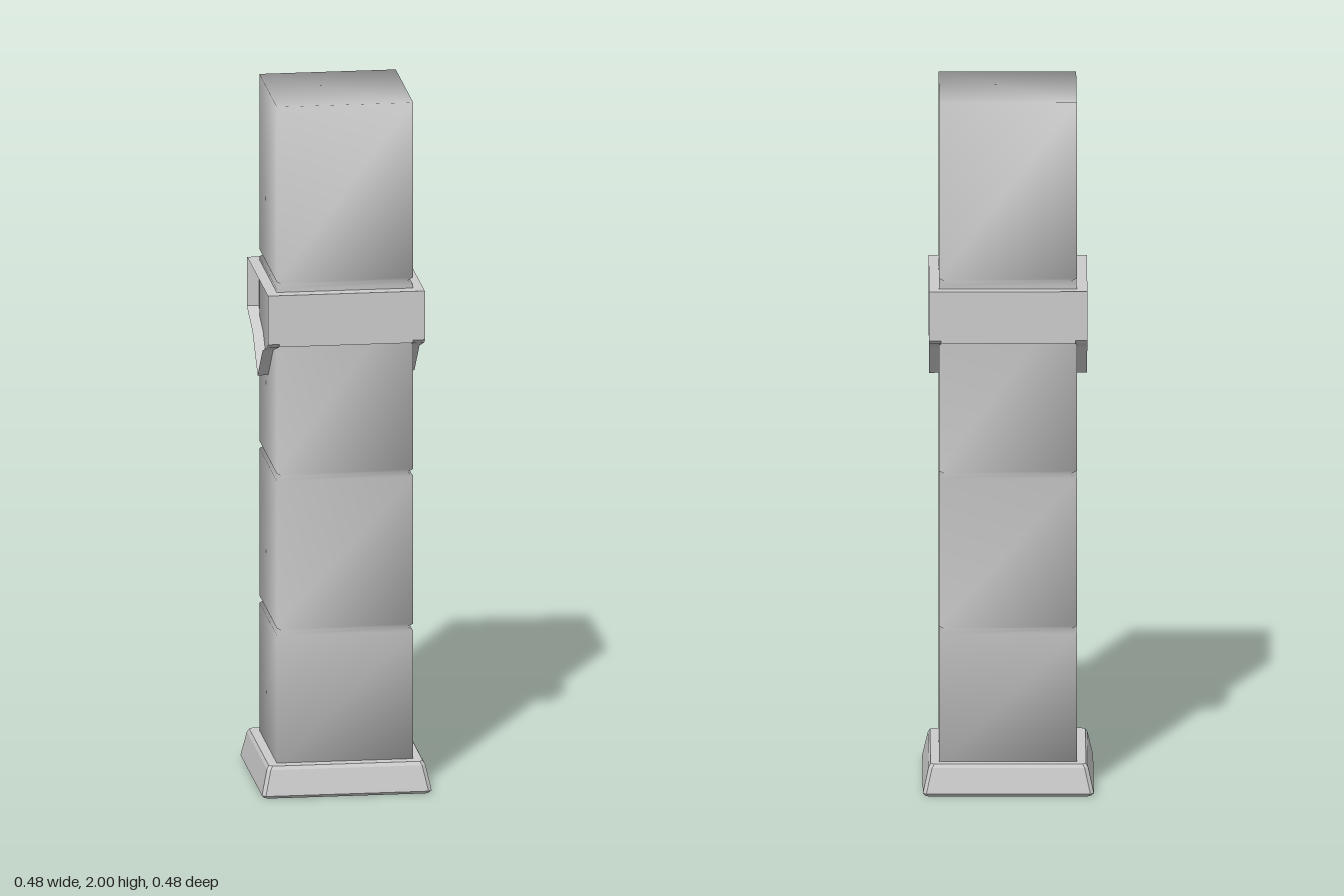
import * as THREE from 'three';

// Stack of square rings [halfX, halfZ, y], optionally with cut corners, closed by two caps
function squareStack(rings, cut = 0) {
  const pos = [], idx = [];
  let n = 0;
  for (const [a, b, y] of rings) {
    const pts = cut
      ? [[a, b - cut], [a - cut, b], [cut - a, b], [-a, b - cut], [-a, cut - b], [cut - a, -b], [a - cut, -b], [a, cut - b]]
      : [[a, b], [-a, b], [-a, -b], [a, -b]];
    n = pts.length;
    for (const [x, z] of pts) pos.push(x, y, z);
  }
  for (let r = 0; r < rings.length - 1; r++) {
    for (let i = 0; i < n; i++) {
      const p = r * n + i, q = r * n + (i + 1) % n;
      idx.push(p, q, p + n, q, q + n, p + n);
    }
  }
  const top = (rings.length - 1) * n;
  for (let i = 1; i < n - 1; i++) {
    idx.push(0, i + 1, i);
    idx.push(top, top + i, top + i + 1);
  }
  // ring order runs clockwise seen from above, so reverse every face
  for (let i = 0; i < idx.length; i += 3) [idx[i + 1], idx[i + 2]] = [idx[i + 2], idx[i + 1]];
  const g = new THREE.BufferGeometry();
  g.setAttribute('position', new THREE.Float32BufferAttribute(pos, 3));
  g.setIndex(idx);
  g.computeVertexNormals();
  return g;
}

export function createModel() {
  const model = new THREE.Group();
  const smooth = new THREE.MeshStandardMaterial({ color: 0xcccccc });
  const flat = new THREE.MeshStandardMaterial({ color: 0xcccccc, flatShading: true });
  const thin = new THREE.MeshStandardMaterial({ color: 0xcccccc, flatShading: true, side: THREE.DoubleSide });
  const add = (parent, name, geometry, material) => {
    const mesh = new THREE.Mesh(geometry, material);
    mesh.name = name;
    parent.add(mesh);
    return mesh;
  };

  // Tapered foot with softened edges
  add(model, 'base', squareStack([
    [0.234, 0.234, 0], [0.241, 0.241, 0.008], [0.239, 0.239, 0.018],
    [0.225, 0.225, 0.08], [0.219, 0.219, 0.09],
  ], 0.01), flat);

  // Square shaft with V grooves, softly shaded across its corners
  const hx = 0.194, hz = 0.188, depth = 0.014, half = 0.011;
  const rings = [[hx, hz, 0.085]];
  for (const y of [0.472, 0.922, 1.48]) {
    rings.push([hx, hz, y - half], [hx - depth, hz - depth, y], [hx, hz, y + half]);
  }
  rings.push([hx, hz, 2]);
  const shaft = add(model, 'shaft', squareStack(rings), smooth);
  shaft.position.x = 0.001;
  shaft.position.z = -0.002;

  // Collar around the shaft
  const collar = new THREE.Group();
  collar.name = 'collar';
  model.add(collar);
  const out = 0.223, inner = 0.19, top = 1.46, low = 1.31;

  for (const s of [1, -1]) {
    const band = add(collar, s > 0 ? 'frontBand' : 'backBand',
      new THREE.BoxGeometry(2 * inner, top - low, out - 0.18), flat);
    band.position.set(0, (top + low) / 2, s * (out + 0.18) / 2);
  }

  // Side outline with a downward point
  const outline = [
    [-out, top], [-out, 1.318], [-0.208, 1.306], [-0.108, 1.272], [0, 1.172],
    [0.108, 1.272], [0.208, 1.306], [out, 1.318], [out, top],
  ];
  const panel = new THREE.ExtrudeGeometry(
    new THREE.Shape(outline.map(([z, y]) => new THREE.Vector2(z, y))),
    { depth: out - inner, bevelEnabled: false });
  panel.rotateY(Math.PI / 2).translate(inner, 0, 0);
  add(collar, 'leftPanel', panel, flat);

  // Opposite side is only a rim, open outwards
  const pos = [], idx = [];
  for (const [z, y] of outline) pos.push(-out, y, z, -inner, y, z);
  const count = outline.length;
  for (let i = 0; i < count; i++) {
    const p = 2 * i, q = 2 * ((i + 1) % count);
    idx.push(p, p + 1, q, q, p + 1, q + 1);
  }
  const rim = new THREE.BufferGeometry();
  rim.setAttribute('position', new THREE.Float32BufferAttribute(pos, 3));
  rim.setIndex(idx);
  rim.computeVertexNormals();
  add(collar, 'rightRim', rim, thin);

  return model;
}
